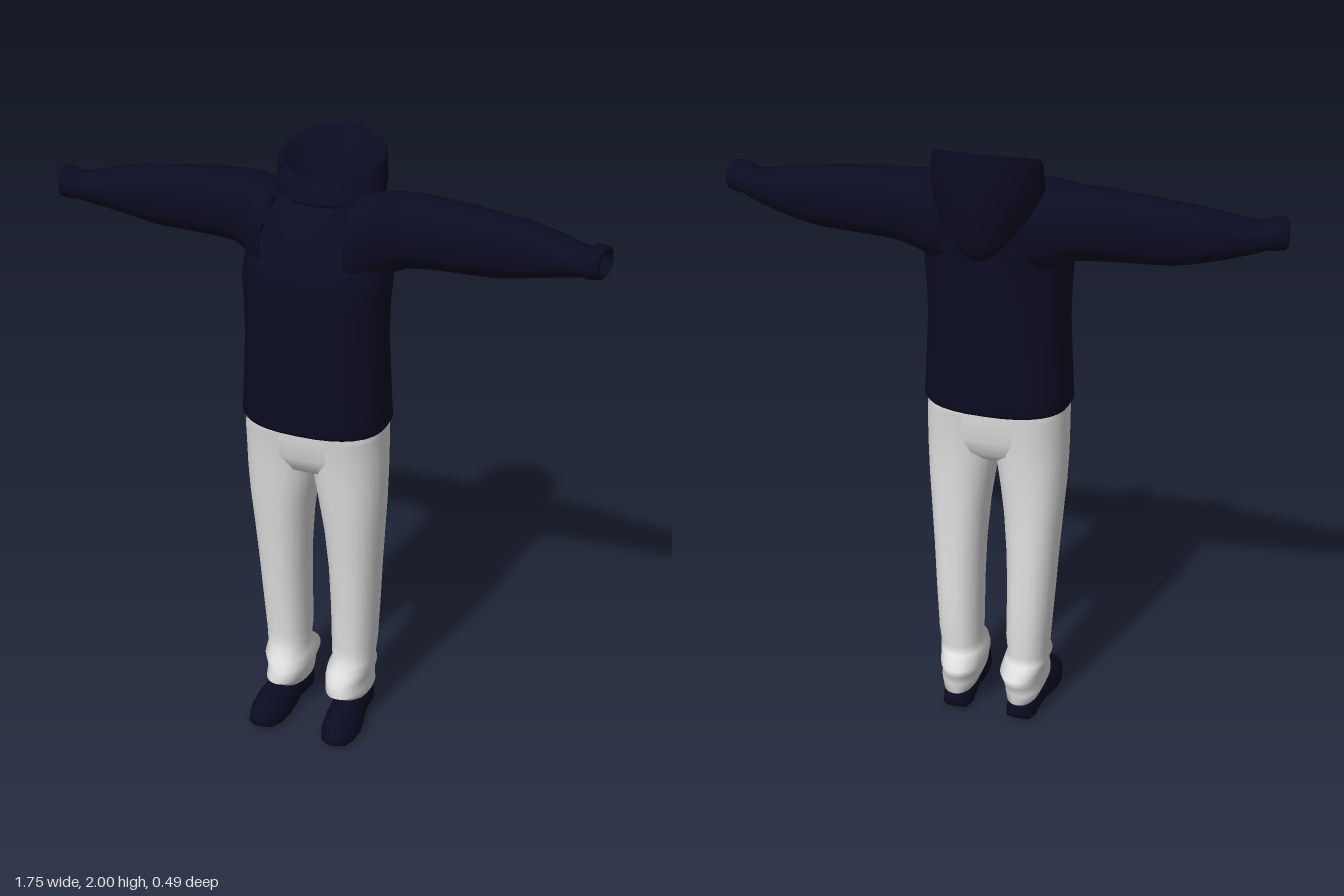
import * as THREE from 'three';

const N = 32;
const navy = new THREE.MeshStandardMaterial({ color: 0x0b0b22, side: THREE.DoubleSide });
navy.name = 'navy cloth';
const white = new THREE.MeshStandardMaterial({ color: 0xe0e0e0, side: THREE.DoubleSide });
white.name = 'off-white cloth';

const spow = (v, p) => Math.sign(v) * Math.abs(v) ** p;

// Closed ring of N points; fn(cos, sin) returns a point
function ring(fn) {
  return Array.from({ length: N }, (_, i) => {
    const t = (i / N) * Math.PI * 2;
    return fn(Math.cos(t), Math.sin(t));
  });
}

// Oval between a0..a1 and b0..b1, with p < 1 making it squarer
function oval(a0, a1, b0, b1, p, place) {
  return ring((c, s) => place(
    (a0 + a1) / 2 + ((a1 - a0) / 2) * spow(c, p),
    (b0 + b1) / 2 + ((b1 - b0) / 2) * spow(s, p)));
}

// Skin over a list of rings, wound outward, with optional caps and left-out faces
function loft(name, material, rings, { capStart, capEnd, skip } = {}) {
  const pos = rings.flat(2);
  const idx = [];
  const at = (k) => new THREE.Vector3().fromArray(pos, k * 3);
  for (let r = 0; r < rings.length - 1; r++) {
    for (let i = 0; i < N; i++) {
      const a = r * N + i, b = r * N + (i + 1) % N, c = a + N, d = b + N;
      const mid = at(a).add(at(b)).add(at(c)).add(at(d)).multiplyScalar(0.25);
      if (skip && skip(mid)) continue;
      idx.push(a, c, b, b, c, d);
    }
  }
  const cap = (r, flip) => {
    const m = new THREE.Vector3();
    for (let i = 0; i < N; i++) m.add(at(r * N + i));
    m.divideScalar(N);
    const k = pos.length / 3;
    pos.push(m.x, m.y, m.z);
    for (let i = 0; i < N; i++) {
      const a = r * N + i, b = r * N + (i + 1) % N;
      idx.push(...(flip ? [k, b, a] : [k, a, b]));
    }
  };
  if (capStart) cap(0, false);
  if (capEnd) cap(rings.length - 1, true);
  // turn the winding outward if the signed volume about the middle is negative
  const centre = new THREE.Box3().setFromArray(pos).getCenter(new THREE.Vector3());
  let volume = 0;
  for (let i = 0; i < idx.length; i += 3) {
    const [a, b, c] = [0, 1, 2].map((j) => at(idx[i + j]).sub(centre));
    volume += a.dot(b.cross(c));
  }
  if (volume < 0) idx.reverse();
  const g = new THREE.BufferGeometry();
  g.setAttribute('position', new THREE.Float32BufferAttribute(pos, 3));
  g.setIndex(idx);
  g.computeVertexNormals();
  const mesh = new THREE.Mesh(g, material);
  mesh.name = name;
  return mesh;
}

// Jacket body: [y, half width, back z, front z], open where the sleeves join
function torso() {
  const rows = [
    [1.15, 0.2, -0.1, 0.17], [1.135, 0.228, -0.122, 0.2], [1.15, 0.237, -0.13, 0.209],
    [1.19, 0.234, -0.128, 0.206], [1.3, 0.228, -0.125, 0.204], [1.42, 0.222, -0.122, 0.203],
    [1.53, 0.224, -0.122, 0.203], [1.61, 0.23, -0.125, 0.201], [1.66, 0.225, -0.13, 0.186],
    [1.71, 0.212, -0.133, 0.155], [1.77, 0.195, -0.133, 0.108], [1.83, 0.17, -0.13, 0.065],
    [1.86, 0.13, -0.115, 0.035],
  ];
  return loft('jacketBody', navy,
    rows.map(([y, w, z0, z1]) => oval(-w, w, z0, z1, 0.82, (x, z) => [x, y, z])),
    { skip: (m) => Math.abs(m.x) > 0.13 && m.y > 1.71 && m.y < 1.83 && Math.abs(m.z - 0.02) < 0.08 });
}

// Sleeve: [x, low y, high y, back z, front z], slanted at the open cuff
function sleeve(s, name) {
  const rows = [
    [0.13, 1.585, 1.868, -0.13, 0.165], [0.18, 1.605, 1.872, -0.137, 0.145], [0.22, 1.63, 1.874, -0.137, 0.105],
    [0.27, 1.652, 1.874, -0.135, 0.078], [0.35, 1.66, 1.871, -0.128, 0.071], [0.45, 1.663, 1.863, -0.12, 0.068],
    [0.55, 1.665, 1.853, -0.1, 0.055], [0.62, 1.678, 1.845, -0.098, 0.056], [0.7, 1.698, 1.83, -0.085, 0.064],
    [0.77, 1.718, 1.812, -0.055, 0.073], [0.81, 1.728, 1.812, -0.035, 0.08], [0.83, 1.726, 1.825, -0.032, 0.084],
    [0.862, 1.731, 1.825, -0.022, 0.084], [0.868, 1.74, 1.813, -0.01, 0.07], [0.84, 1.738, 1.808, -0.012, 0.066],
  ];
  return loft(name, navy, rows.map(([x, y0, y1, z0, z1]) => oval(y0, y1, z0, z1, 0.92,
    (y, z) => [s * (x - (x > 0.76 ? 0.22 * (z - 0.03) : 0)), y, z])));
}

// Lowered hood: [half width, front z, back z, front y, back y, sweep, taper]
function hood() {
  const rows = [
    [0.085, 0.0, -0.09, 1.83, 1.83, 1, 0], [0.105, 0.01, -0.12, 1.855, 1.88, 1, 0.1],
    [0.14, 0.02, -0.185, 1.885, 1.97, 0.7, 0.2], [0.155, 0.03, -0.212, 1.89, 2.0, 0.6, 0.15],
    [0.165, 0.045, -0.226, 1.875, 1.985, 0.6, 0.1], [0.168, 0.06, -0.246, 1.855, 1.89, 0.8, 0.15],
    [0.166, 0.07, -0.222, 1.84, 1.81, 1.5, 0.15], [0.155, 0.07, -0.222, 1.83, 1.71, 2.5, 0.15],
    [0.14, 0.06, -0.185, 1.825, 1.668, 3, 0.1], [0.12, 0.04, -0.12, 1.825, 1.71, 3, 0],
  ];
  return loft('hood', navy, rows.map(([w, zf, zb, yf, yb, e, taper]) => ring((c, f) => [
    w * c * (1 + taper * f),
    yf + (yb - yf) * ((1 - f) / 2) ** e,
    (zf + zb) / 2 + ((zf - zb) / 2) * f,
  ])));
}

// Seat of the trousers: [y, half width, back z, front z]
function seat() {
  const rows = [
    [1.17, 0.222, -0.105, 0.182], [1.1, 0.226, -0.102, 0.176], [1.03, 0.226, -0.094, 0.163],
    [0.98, 0.2, -0.08, 0.14], [0.95, 0.13, -0.05, 0.09],
  ];
  return loft('trouserSeat', white,
    rows.map(([y, w, z0, z1]) => oval(-w, w, z0, z1, 0.72, (x, z) => [x, y, z])), { capEnd: true });
}

// Trouser leg: [y, inner x, outer x, back z, front z], bunched at the ankle
function leg(s, name) {
  const rows = [
    [1.12, -0.005, 0.226, -0.104, 0.181], [1.03, -0.004, 0.228, -0.094, 0.165], [0.95, 0.0, 0.228, -0.088, 0.157],
    [0.85, 0.016, 0.224, -0.086, 0.146], [0.75, 0.03, 0.217, -0.086, 0.133], [0.6, 0.042, 0.207, -0.088, 0.117],
    [0.45, 0.046, 0.199, -0.092, 0.104], [0.3, 0.046, 0.19, -0.095, 0.092], [0.24, 0.05, 0.185, -0.088, 0.094],
    [0.21, 0.04, 0.188, -0.092, 0.122], [0.175, 0.032, 0.178, -0.138, 0.132], [0.14, 0.042, 0.174, -0.125, 0.15],
    [0.115, 0.042, 0.182, -0.108, 0.132], [0.085, 0.055, 0.168, -0.117, 0.09], [0.095, 0.065, 0.16, -0.1, 0.075],
  ];
  return loft(name, white, rows.map(([y, x0, x1, z0, z1]) => oval(x0, x1, z0, z1, 0.88,
    (x, z) => [s * x, y + (y < 0.13 ? 0.1 * z : 0), z])));
}

// Shoe: [z, centre x, half width, low y, high y]
function shoe(s, name) {
  const rows = [
    [-0.11, 0.112, 0.02, 0.02, 0.055], [-0.095, 0.112, 0.042, 0.006, 0.08], [-0.06, 0.113, 0.052, 0.002, 0.1],
    [-0.02, 0.115, 0.052, 0.006, 0.105], [0.03, 0.12, 0.053, 0.012, 0.11], [0.08, 0.124, 0.061, 0.004, 0.116],
    [0.13, 0.128, 0.064, 0.001, 0.108], [0.18, 0.13, 0.058, 0.003, 0.092], [0.22, 0.132, 0.044, 0.01, 0.073],
    [0.245, 0.133, 0.02, 0.025, 0.052],
  ];
  // flat sole: squeeze the lower half of each section into a straight base
  return loft(name, navy, rows.map(([z, cx, w, y0, y1]) => ring((c, f) => {
    const k = f < 0 ? spow(f, 0.45) : f;
    const base = y0 + (y1 - y0) * 0.25;
    return [s * (cx + w * spow(c, f < 0 ? 0.6 : 1)), base + (f < 0 ? (base - y0) : (y1 - base)) * k, z];
  })), { capStart: true, capEnd: true });
}

export function createModel() {
  const model = new THREE.Group();
  model.name = 'outfit';
  model.add(torso(), hood(), seat());
  for (const [s, side] of [[1, 'left'], [-1, 'right']]) {
    model.add(sleeve(s, side + 'Sleeve'), leg(s, side + 'TrouserLeg'), shoe(s, side + 'Shoe'));
  }
  return model;
}
